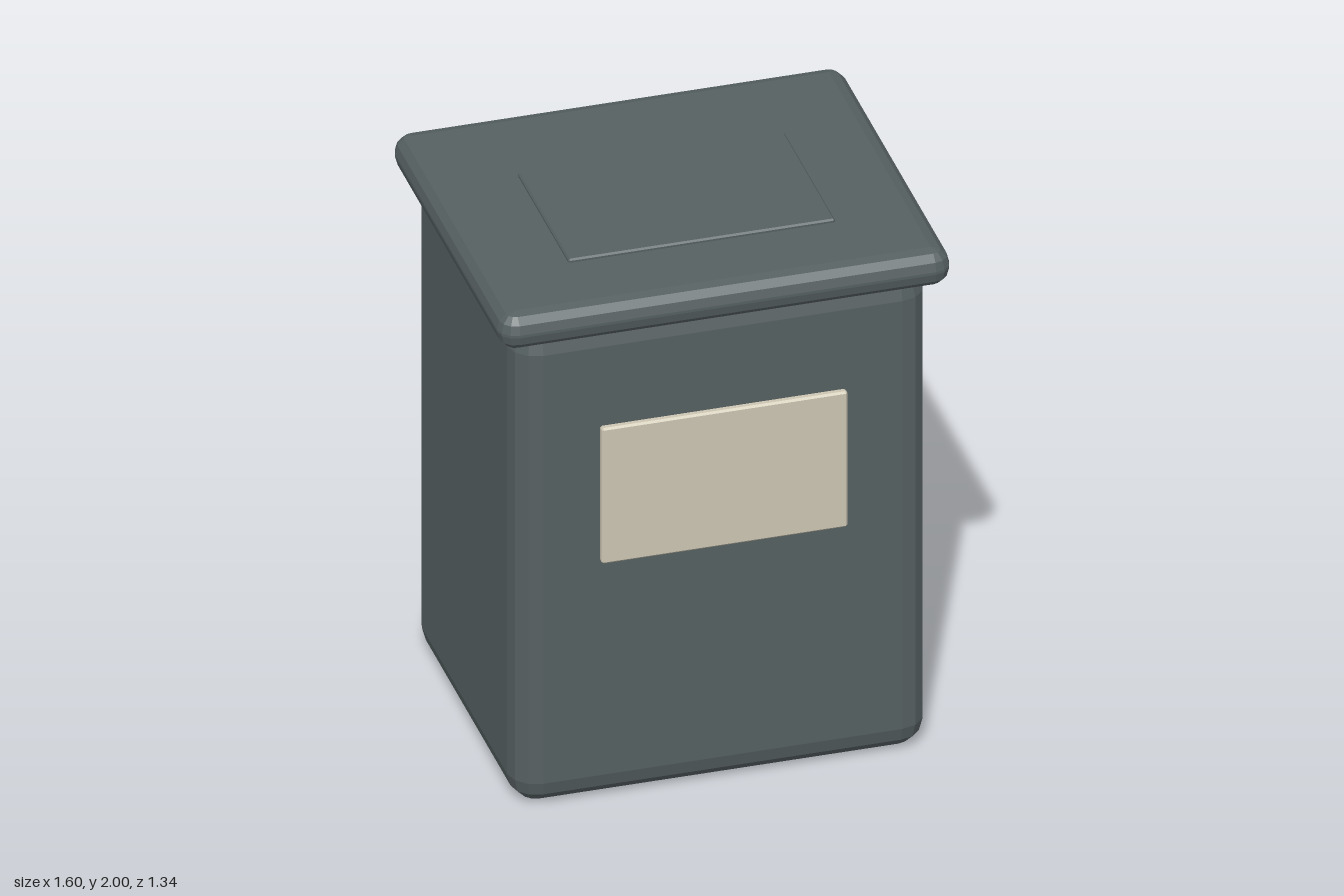
import * as THREE from 'three';
import { ConvexGeometry } from 'three/addons/geometries/ConvexGeometry.js';

// Box with bevelled edges and corners: hull of a faceted sphere patch at each corner
function bevelBox(w, h, d, r, steps) {
  const points = [];
  for (const sx of [-1, 1]) for (const sy of [-1, 1]) for (const sz of [-1, 1]) {
    for (let j = 0; j <= steps; j++) {
      const b = (j / steps) * Math.PI / 2;
      const ring = j === steps ? 0 : steps; // the pole needs one point only
      for (let i = 0; i <= ring; i++) {
        const a = (i / steps) * Math.PI / 2;
        points.push(new THREE.Vector3(
          sx * (w / 2 - r + r * Math.cos(a) * Math.cos(b)),
          sy * (h / 2 - r + r * Math.sin(b)),
          sz * (d / 2 - r + r * Math.sin(a) * Math.cos(b))));
      }
    }
  }
  return new ConvexGeometry(points);
}

export function createModel() {
  const group = new THREE.Group();
  const slate = new THREE.MeshStandardMaterial({ color: 0x566061 });
  slate.name = 'slate grey';
  const cream = new THREE.MeshStandardMaterial({ color: 0xcdc6b3 });
  cream.name = 'cream';

  const add = (name, material, size, position, r, steps) => {
    const mesh = new THREE.Mesh(bevelBox(...size, r, steps), material);
    mesh.name = name;
    mesh.position.set(...position);
    group.add(mesh);
  };

  // Tall body, its top tucked into the lid
  add('body', slate, [1.47, 1.89, 1.21], [0, 0.945, 0], 0.1, 3);
  // Overhanging lid with rounded rim
  add('lid', slate, [1.6, 0.138, 1.336], [0, 1.918, 0], 0.064, 3);
  // Thin raised panel on the lid, set slightly forward
  add('lidPanel', slate, [0.944, 0.04, 0.606], [0, 1.98, 0.053], 0.006, 1);
  // Label plate on the front
  add('frontLabel', cream, [0.87, 0.535, 0.03], [0, 1.213, 0.615], 0.007, 1);

  return group;
}
